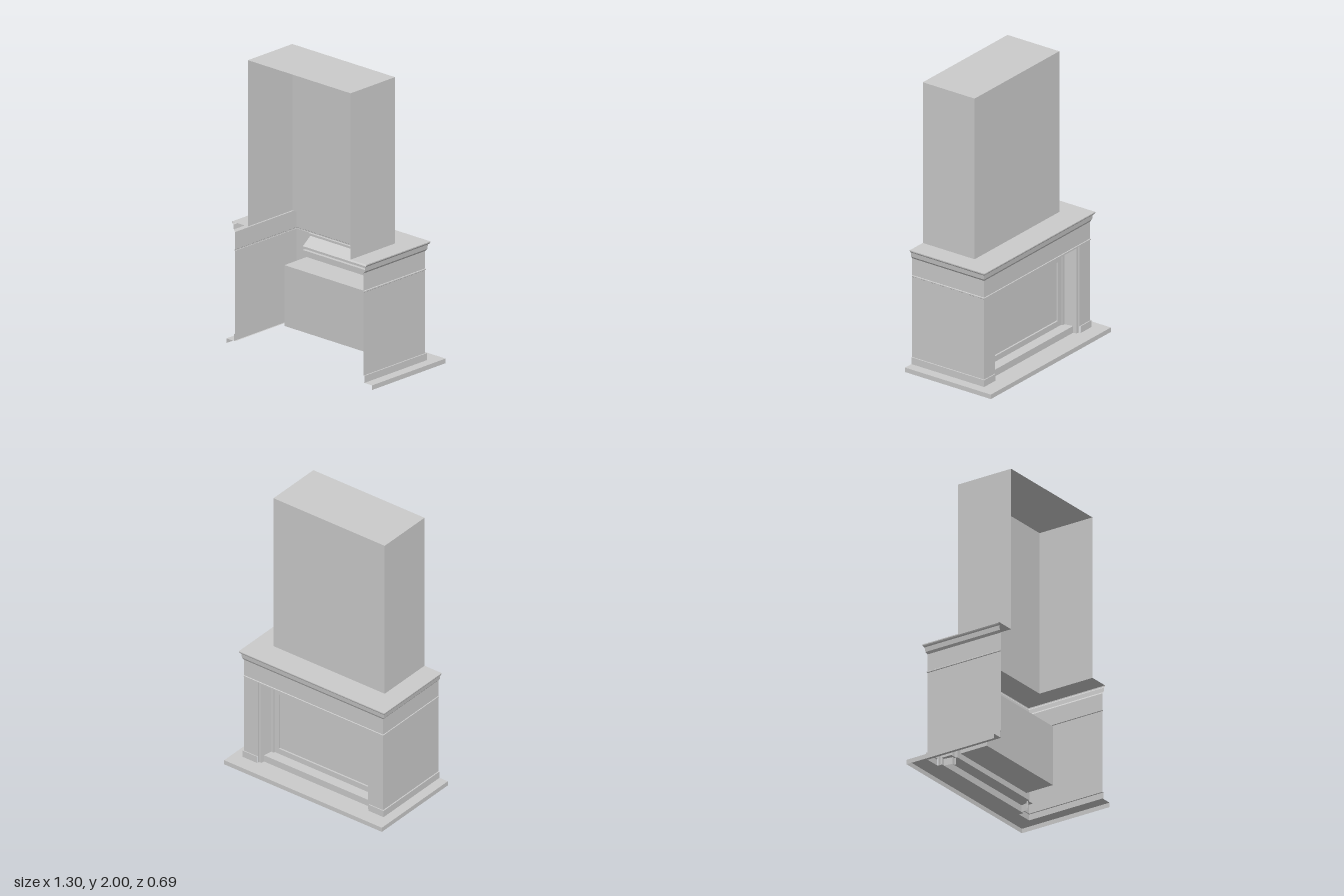
import * as THREE from 'three';

const material = new THREE.MeshStandardMaterial({ color: 0xcccccc, flatShading: true, side: THREE.DoubleSide });
const BACK = 0.348;

function add(parent, name, geometry) {
  const mesh = new THREE.Mesh(geometry, material);
  mesh.name = name;
  parent.add(mesh);
  return mesh;
}

// Flat-shaded skin through rows of points
function loft(rows) {
  const p = [];
  for (let r = 0; r < rows.length - 1; r++) {
    for (let i = 0; i < rows[r].length - 1; i++) {
      const a = rows[r][i], b = rows[r][i + 1], c = rows[r + 1][i + 1], d = rows[r + 1][i];
      p.push(...a, ...b, ...c, ...a, ...c, ...d);
    }
  }
  const g = new THREE.BufferGeometry();
  g.setAttribute('position', new THREE.Float32BufferAttribute(p, 3));
  g.computeVertexNormals();
  return g;
}

// Three-sided ring, open towards the wall
const ring = ([w, z, y]) => [[w, y, BACK], [w, y, z], [-w, y, z], [-w, y, BACK]];
// Arch around the fire opening
const arch = ([w, top, z, bottom]) => [[-w, bottom, z], [-w, top, z], [w, top, z], [w, bottom, z]];
// Side wall turning into one front pillar
function pillarRow(side, w, z, inner, y) {
  const row = [[w, y, BACK], [w, y, z], [inner, y, z]];
  return side > 0 ? row : row.map(([x, h, d]) => [-x, h, d]).reverse();
}

export function createModel() {
  const model = new THREE.Group();
  model.name = 'fireplace';

  // Hearth slab around the base
  add(model, 'hearth', loft([
    [0.648, -0.347, 0], [0.648, -0.347, 0.032], [0.57, -0.235, 0.032],
  ].map(ring)));

  // Pillars with plinths
  for (const side of [1, -1]) {
    const label = side > 0 ? 'left' : 'right';
    add(model, label + 'Pillar', loft([
      pillarRow(side, 0.571, -0.235, 0.457, 0.08),
      pillarRow(side, 0.571, -0.235, 0.457, 0.655),
    ]));
    add(model, label + 'Plinth', loft([
      pillarRow(side, 0.58, -0.242, 0.457, 0.032),
      pillarRow(side, 0.58, -0.242, 0.457, 0.08),
      pillarRow(side, 0.571, -0.235, 0.457, 0.08),
    ]));
  }

  // Thin moulding, frieze and cornice
  add(model, 'frieze', loft([
    [0.571, -0.235, 0.652], [0.575, -0.239, 0.655], [0.575, -0.239, 0.662],
    [0.571, -0.235, 0.665], [0.571, -0.235, 0.785],
  ].map(ring)));
  add(model, 'cornice', loft([
    [0.571, -0.235, 0.785], [0.583, -0.243, 0.8], [0.587, -0.247, 0.832],
    [0.594, -0.254, 0.838], [0.598, -0.258, 0.845], [0.598, -0.258, 0.852],
  ].map(ring)));
  add(model, 'mantelShelf', loft([
    [0.598, -0.258, 0.852], [0.457, -0.072, 0.852],
  ].map(ring)));

  // Chimney breast
  add(model, 'chimneyBreast', loft([
    [0.457, -0.072, 0.852], [0.457, -0.072, 2],
  ].map(ring)));
  add(model, 'chimneyTop', loft([
    [[-0.457, 2, BACK], [0.457, 2, BACK]],
    [[-0.457, 2, -0.072], [0.457, 2, -0.072]],
  ]));

  // Stepped reveal of the fire opening
  add(model, 'openingReveal', loft([
    [0.457, 0.655, -0.235, 0.032], [0.457, 0.655, -0.225, 0.032], [0.44, 0.64, -0.225, 0.032],
    [0.425, 0.595, -0.138, 0.032], [0.405, 0.58, -0.138, 0.032], [0.405, 0.58, -0.126, 0.032],
  ].map(arch)));
  add(model, 'openingStep', loft([
    [0.032, -0.235], [0.032, -0.2], [0.08, -0.2], [0.08, -0.126],
  ].map(([y, z]) => [[0.457, y, z], [-0.457, y, z]])));

  // Frame around the fire door
  const rectangle = (Type, w, y0, y1) => new Type([
    [-w, y0], [w, y0], [w, y1], [-w, y1],
  ].map(([x, y]) => new THREE.Vector2(x, y)));
  const frame = rectangle(THREE.Shape, 0.405, 0.08, 0.58);
  frame.holes.push(rectangle(THREE.Path, 0.37, 0.12, 0.54));
  add(model, 'doorFrame', new THREE.ExtrudeGeometry(frame, { depth: 0.012, bevelEnabled: false }))
    .position.z = -0.127;

  // Firebox behind the frame
  add(model, 'firebox', new THREE.BoxGeometry(0.74, 0.42, 0.21)).position.set(0, 0.33, -0.01);

  return model;
}
